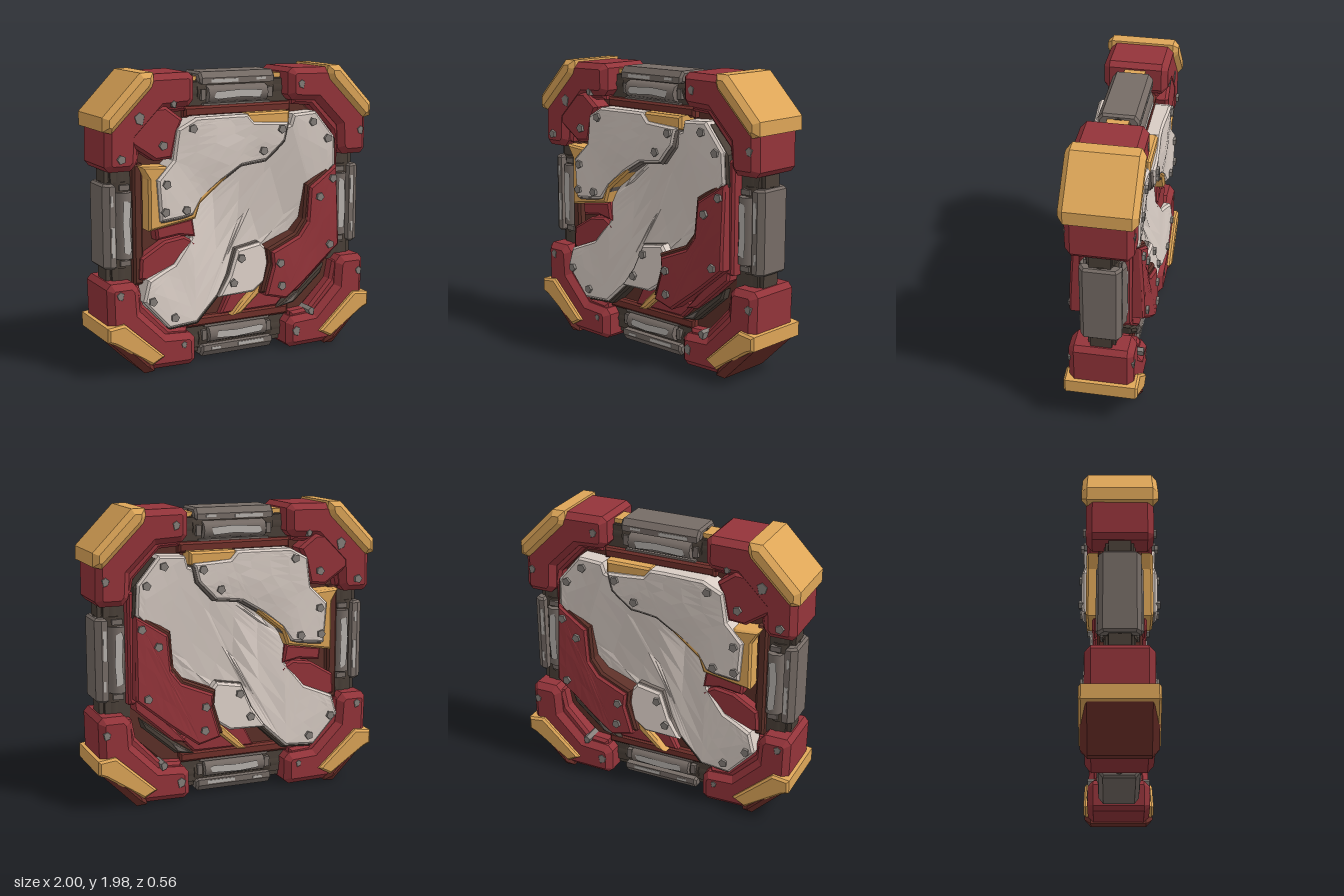
import * as THREE from 'three';

const mat = (name, color) => Object.assign(new THREE.MeshStandardMaterial({ color }), { name });
const M = {
  red: mat('red paint', 0x94343a),
  rust: mat('rusty red', 0x70302a),
  yellow: mat('yellow paint', 0xdea658),
  white: mat('white plate', 0xd8ccc4),
  grey: mat('steel', 0x766c66),
  rivet: mat('rivet steel', 0x857f7a),
  light: mat('bare steel', 0xb8b3ae),
  dark: mat('dark iron', 0x4a4038),
  brown: mat('worn edge', 0x5c3028),
};

// Split every triangle into four, so that a height rule can shape the inside of a plate
function subdivide(geo) {
  const p = geo.attributes.position, out = [];
  for (let i = 0; i < p.count; i += 3) {
    const [a, b, c] = [0, 1, 2].map((k) => new THREE.Vector3().fromBufferAttribute(p, i + k));
    const [ab, bc, ca] = [[a, b], [b, c], [c, a]].map(([u, v]) => u.clone().lerp(v, 0.5));
    for (const v of [a, ab, ca, ab, b, bc, ca, bc, c, ab, bc, ca]) out.push(v);
  }
  return new THREE.BufferGeometry().setFromPoints(out);
}

// Solid plate, the same on front and back. h is the half depth, a number or a rule of x and y.
function slab(name, material, pts, h, bevel = 0.015, mx = 1, my = 1) {
  const shape = new THREE.Shape(pts.map(([x, y]) => new THREE.Vector2(x * mx, y * my)));
  let geo = new THREE.ExtrudeGeometry(shape, {
    depth: 1, bevelEnabled: true, bevelSegments: 1,
    bevelSize: bevel, bevelThickness: bevel, bevelOffset: -bevel,
  });
  const curved = typeof h !== 'number';
  // the walls get a middle row on z = 0 from the subdivision
  if (curved) geo = subdivide(subdivide(geo));
  const p = geo.attributes.position;
  for (let i = 0; i < p.count; i++) {
    const z = p.getZ(i) - 0.5, half = curved ? h(p.getX(i), p.getY(i)) : h, a = Math.abs(z);
    p.setZ(i, Math.sign(z) * (a > 0.499 ? half + a - 0.5 - bevel : a * 2 * (half - bevel)));
  }
  geo.computeVertexNormals();
  const mesh = new THREE.Mesh(geo, material);
  mesh.name = name;
  return mesh;
}

function part(name, geo, material, x = 0, y = 0, z = 0) {
  const mesh = new THREE.Mesh(geo, material);
  mesh.name = name;
  mesh.position.set(x, y, z);
  return mesh;
}

const shift = (pts, dx, dy) => pts.map(([x, y]) => [x + dx, y + dy]);

// One corner block, built around the middle of the frame and mirrored by mx and my
function corner(mx, my) {
  const g = new THREE.Group();
  g.name = 'corner';
  const add = (name, m, pts, h, b) => g.add(slab(name, m, pts, h, b, mx, my));
  add('cornerBlock', M.red, [[0.355, 0.95], [0.39, 0.98], [0.69, 0.975], [0.975, 0.69], [0.98, 0.40],
    [0.95, 0.365], [0.80, 0.365], [0.76, 0.41], [0.75, 0.57], [0.57, 0.75], [0.39, 0.76], [0.355, 0.8]], 0.215, 0.04);
  add('cornerStep', M.red, [[0.4, 0.85], [0.7, 0.85], [0.85, 0.7], [0.85, 0.4], [0.745, 0.4],
    [0.72, 0.53], [0.54, 0.72], [0.4, 0.73]], 0.17, 0.02);
  if (my > 0) {
    add('cornerCap', M.yellow, [[0.645, 0.93], [0.65, 0.99], [0.74, 0.988], [1, 0.72], [1, 0.63], [0.94, 0.615],
      [0.92, 0.63], [0.66, 0.89]], 0.245, 0.035);
  } else {
    add('cornerCap', M.rust, [[0.66, 0.985], [0.73, 0.99], [0.99, 0.73], [0.98, 0.66], [0.9, 0.68],
      [0.67, 0.9]], 0.24, 0.045);
    add('cornerTrim', M.yellow, [[0.6, 0.88], [0.69, 0.93], [0.95, 0.755], [1, 0.735], [1, 0.64],
      [0.88, 0.625]], 0.247, 0.015);
  }
  return g;
}

// One strut between two corners, lying along x on the outer side
function strut(isTop) {
  const g = new THREE.Group();
  g.name = 'strut';
  g.add(part('strutCore', new THREE.BoxGeometry(0.8, 0.17, 0.18), M.dark, 0, 0.82));
  // outer shell with chamfered edges, swept along x
  const prof = new THREE.Shape([[-0.135, 0.89], [0.135, 0.89], [0.135, 0.93], [0.105, 0.97], [-0.105, 0.97],
    [-0.135, 0.93]].map(([a, b]) => new THREE.Vector2(a, b)));
  const shell = new THREE.ExtrudeGeometry(prof, { depth: 0.53, bevelSize: 0.015, bevelOffset: -0.015,
    bevelThickness: 0.015, bevelSegments: 1 });
  shell.translate(0, 0, -0.265).rotateY(Math.PI / 2);
  g.add(part('strutShell', shell, M.grey));
  for (const s of [-1, 1]) {
    const tube = new THREE.CylinderGeometry(0.06, 0.06, 0.44, 8).rotateZ(Math.PI / 2);
    g.add(part('strutTube', tube, M.grey, 0, 0.82, s * 0.09));
    // bare metal showing on the tube and the shell edge
    const shine = [[-0.19, 0.8], [-0.16, 0.79], [0.02, 0.8], [0.16, 0.79], [0.17, 0.84], [0.03, 0.85],
      [-0.17, 0.84]].map(([x, y]) => new THREE.Vector2(s * x, y));
    const patch = new THREE.ShapeGeometry(new THREE.Shape(shine)).rotateY(s > 0 ? 0 : Math.PI);
    g.add(part('tubeShine', patch, M.light, 0, 0, s * 0.152));
    g.add(part('shellWear', new THREE.BoxGeometry(0.2, 0.022, 0.008), M.light, -0.1, 0.91, s * 0.134));
    g.add(part('shellWear', new THREE.BoxGeometry(0.07, 0.016, 0.008), M.light, 0.17, 0.915, s * 0.134));
    g.add(part('innerRail', new THREE.BoxGeometry(0.5, 0.025, 0.04), M.grey, 0, 0.75, s * 0.1));
    const collar = new THREE.CylinderGeometry(0.11, 0.11, 0.07, 8).rotateZ(Math.PI / 2);
    g.add(part('strutCollar', collar, M.dark, s * 0.25, 0.84));
    g.add(part('collarBand', new THREE.BoxGeometry(0.035, 0.07, 0.24), M.grey, s * 0.25, 0.82));
    const neck = new THREE.CylinderGeometry(0.1, 0.1, 0.1, 8).rotateZ(Math.PI / 2);
    g.add(part('strutNeck', neck, M.dark, s * 0.33, 0.84));
    g.add(part('strutClip', new THREE.BoxGeometry(0.1, 0.04, 0.14), isTop ? M.yellow : M.dark,
      s * 0.32, 0.92));
  }
  return g;
}

// Surface rules: the white band sinks into a hollow in the middle, the other plates lie above it
const ripple = (x, y) => 0.007 * Math.sin(11 * x + 7 * y);
const bandZ = (x, y) => 0.1 + 0.115 * Math.min(1.05, Math.abs(x + y - 1)) + ripple(x, y);
const upperZ = (x, y) => 0.238 - 0.12 * Math.max(0, 0.5 - Math.hypot(x - 0.05, y - 1)) + ripple(x, y);
const redZ = (x, y) => 0.262 - 0.045 * (y - 0.45) + ripple(x, y) * 0.5;
const lowerZ = (x, y) => 0.195 + 0.13 * (0.7 - y);
const less = (f, d) => (x, y) => f(x, y) - d;

const band = [[0.36, 1.6], [0.38, 1.67], [0.56, 1.68], [0.71, 1.5], [0.72, 1.3], [0.55, 1.12], [0.5, 0.9],
  [0.24, 0.7], [0.02, 0.52], [-0.18, 0.47], [-0.35, 0.31], [-0.56, 0.3], [-0.74, 0.5], [-0.7, 0.64],
  [-0.5, 0.72], [-0.37, 0.88], [-0.38, 1.05], [-0.2, 1.3], [0.05, 1.42], [0.2, 1.55]];
const upper = [[-0.36, 1.69], [0.02, 1.69], [0.07, 1.635], [0.33, 1.62], [0.3, 1.5], [0.17, 1.37],
  [-0.02, 1.35], [-0.17, 1.26], [-0.31, 1.15], [-0.38, 1.05], [-0.62, 1.025], [-0.64, 1.3], [-0.52, 1.42],
  [-0.49, 1.62]];
const upperTrim = [[-0.74, 1.39], [-0.55, 1.38], [-0.1, 1.5], [0.03, 1.695], [0.35, 1.695], [0.35, 1.61],
  [0.1, 1.45], [-0.32, 1.12], [-0.355, 1.02], [-0.69, 0.965], [-0.69, 1.3]];
const redPlate = [[0.73, 1.3], [0.51, 1.16], [0.49, 0.92], [0.42, 0.83], [0.2, 0.74], [0.21, 0.64],
  [0.15, 0.44], [0.31, 0.4], [0.51, 0.55], [0.74, 0.74]];
const lowerPlate = [[-0.19, 0.465], [0.07, 0.47], [0.19, 0.55], [0.24, 0.7], [0.15, 0.8], [-0.03, 0.77],
  [-0.1, 0.6]];

function panel() {
  const g = new THREE.Group();
  g.name = 'panel';
  const add = (...a) => g.add(slab(...a));
  add('panelCore', M.brown, [[-0.5, 0.24], [0.5, 0.24], [0.78, 0.5], [0.78, 1.5], [0.5, 1.76], [-0.5, 1.76],
    [-0.78, 1.5], [-0.78, 0.5]], 0.085);
  // raised rim inside the frame
  for (const [a, b] of [[-0.4, 0.4]]) {
    add('topRim', M.rust, [[a, 1.68], [b, 1.68], [b, 1.75], [a, 1.75]], 0.14);
    add('bottomRim', M.rust, [[a, 0.25], [b, 0.25], [b, 0.32], [a, 0.32]], 0.13);
  }
  add('rightRim', M.red, [[0.7, 0.7], [0.765, 0.7], [0.765, 1.45], [0.7, 1.45]], 0.17);
  add('leftRim', M.brown, [[-0.77, 0.6], [-0.7, 0.6], [-0.7, 1.4], [-0.77, 1.4]], 0.14);

  // bracing between the plates
  add('leftBrace', M.red, [[-0.74, 0.64], [-0.73, 0.78], [-0.56, 0.88], [-0.42, 0.9], [-0.33, 0.85],
    [-0.36, 0.75], [-0.6, 0.6]], 0.165);
  add('leftBrace', M.red, [[-0.62, 0.89], [-0.63, 0.98], [-0.36, 1.02], [-0.34, 0.89], [-0.46, 0.91]], 0.175);
  add('lowerBrace', M.red, [[-0.14, 0.32], [0.3, 0.32], [0.4, 0.42], [0.2, 0.55], [-0.05, 0.5]], 0.14);
  add('rightBrace', M.red, [[0.36, 0.4], [0.46, 0.42], [0.73, 0.66], [0.73, 0.76], [0.5, 0.56]], 0.17);
  add('rightStrip', M.dark, [[0.3, 0.31], [0.44, 0.33], [0.66, 0.52], [0.68, 0.59], [0.46, 0.42]], 0.15);
  add('stripWear', M.grey, [[0.34, 0.325], [0.42, 0.34], [0.47, 0.41], [0.41, 0.375]], 0.156, 0.004);
  add('cornerGusset', M.red, [[-0.83, 1.55], [-0.8, 1.76], [-0.56, 1.77], [-0.44, 1.68], [-0.48, 1.6],
    [-0.52, 1.43], [-0.64, 1.42]], 0.212, 0.02);
  add('lowerTrim', M.yellow, [[-0.07, 0.31], [0, 0.32], [0.16, 0.46], [0.15, 0.53], [0, 0.39]], 0.19);

  // main plates, each over a worn edge
  add('whiteBandEdge', M.dark, shift(band, 0.018, -0.018), less(bandZ, 0.02));
  add('whiteBand', M.white, band, bandZ);
  add('lowerPlateEdge', M.grey, shift(lowerPlate, -0.006, 0.005), less(lowerZ, 0.015));
  add('lowerPlate', M.white, lowerPlate, lowerZ);
  add('upperTrim', M.yellow, upperTrim, 0.215);
  add('upperPlateEdge', M.grey, shift(upper, 0.01, -0.012), less(upperZ, 0.012));
  add('upperPlate', M.white, upper, upperZ);
  add('redPlateEdge', M.brown, shift(redPlate, -0.024, 0.02), less(redZ, 0.02));
  add('redPlate', M.red, redPlate, redZ);

  // paint chips on the corner blocks: x, y, size
  for (const [x, y, s] of [[-0.75, 1.7, 1.4], [0.44, 1.87, 1], [0.92, 1.53, 1], [0.93, 0.52, 1],
    [0.54, 0.27, 1], [0.42, 0.14, 1.2], [-0.45, 0.17, 0.8], [-0.9, 0.56, 1], [-0.51, 1.78, 0.8]]) {
    const c = [[-0.025, 0.01], [0, 0.03], [0.025, 0.015], [0.015, -0.03], [-0.015, -0.02]];
    add('paintChip', M.rivet, c.map(([a, b]) => [x + a * s, y + b * s]), 0.219, 0.002);
  }

  // rivets run through the panel and show on both faces
  const rivets = [
    [upperZ, [[-0.39, 1.62], [-0.58, 1.27], [-0.59, 1.09], [-0.44, 1.09], [0.14, 1.44], [0.27, 1.58]]],
    [bandZ, [[0.53, 1.61], [0.65, 1.49], [-0.52, 0.37], [-0.68, 0.5]]],
    [redZ, [[0.69, 1.21], [0.58, 1.09], [0.66, 0.75], [0.26, 0.66], [0.27, 0.5]]],
    [lowerZ, [[-0.01, 0.71], [-0.08, 0.55]]],
    [() => 0.215, [[-0.59, 1.52], [-0.88, 1.45]]],
  ];
  for (const [h, list] of rivets) for (const [x, y] of list) {
    const geo = new THREE.CylinderGeometry(0.03, 0.03, 2 * (h(x, y) + 0.018), 5).toNonIndexed();
    geo.rotateX(Math.PI / 2).rotateZ(x * 9);
    geo.computeVertexNormals();
    g.add(part('rivet', geo, M.rivet, x, y));
  }
  return g;
}

export function createModel() {
  const root = new THREE.Group();
  root.name = 'armouredPanel';
  const frame = new THREE.Group();
  frame.name = 'frame';
  frame.position.y = 1;
  for (const mx of [-1, 1]) for (const my of [-1, 1]) frame.add(corner(mx, my));
  for (let k = 0; k < 4; k++) {
    const s = strut(k === 0);
    s.rotation.z = k * Math.PI / 2;
    frame.add(s);
  }
  root.add(frame, panel());
  return root;
}
